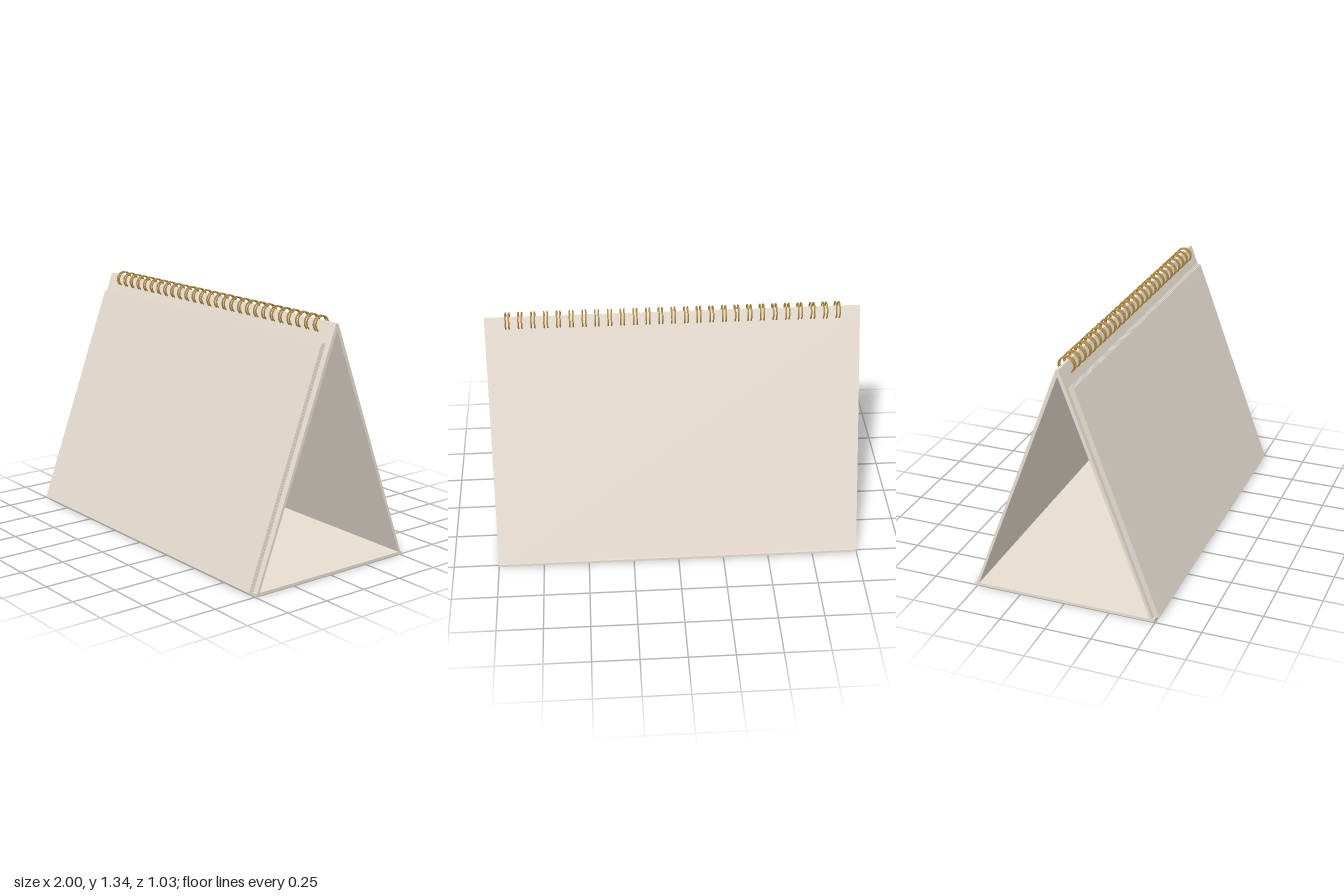
import * as THREE from 'three';

const MID = -0.01; // z of the ridge line

export function createModel() {
  const model = new THREE.Group();
  model.name = 'deskCalendar';

  const card = new THREE.MeshStandardMaterial({ color: 0xe9dfd3 });
  card.name = 'beigeCard';
  const brass = new THREE.MeshStandardMaterial({ color: 0xb08a3e });
  brass.name = 'brass';

  // Prism from a [z, y] outline, centred across x
  function slab(name, outline, width, x = 0) {
    const shape = new THREE.Shape(outline.map(([z, y]) => new THREE.Vector2(z, y)));
    const geo = new THREE.ExtrudeGeometry(shape, { depth: width, bevelEnabled: false });
    geo.translate(0, 0, -width / 2);
    geo.rotateY(-Math.PI / 2);
    const mesh = new THREE.Mesh(geo, card);
    mesh.name = name;
    mesh.position.x = x;
    return mesh;
  }

  // Folded stand: two leaning panels and a base board
  const leaning = [[0.482, 0.016], [0.496, 0.016], [0.007, 1.323], [0, 1.323], [0, 1.287]];
  model.add(slab('frontPanel', leaning.map(([z, y]) => [MID + z, y]), 2));
  // mirrored outline, reversed to keep its winding
  model.add(slab('backPanel', leaning.map(([z, y]) => [MID - z, y]).reverse(), 2));
  model.add(slab('base', [[-0.515, 0.003], [0.495, 0.003], [0.495, 0.018], [-0.515, 0.018]], 2));

  // Stack of thin pages lying on the front panel
  const pages = new THREE.Group();
  pages.name = 'pages';
  const SHEETS = 8;
  for (let i = 0; i < SHEETS; i++) {
    const z = i * 0.0036;
    const t = 0.0026;
    pages.add(slab('page', [
      [0.4865 + z, 0.018], [0.4865 + z + t, 0.019],
      [0.0375 + z + t, 1.225], [0.0375 + z, 1.224],
    ], 1.945, -0.003));
  }
  model.add(pages);

  // Twin-loop wire binding
  const binding = new THREE.Group();
  binding.name = 'wireBinding';
  const loop = new THREE.TorusGeometry(0.0418, 0.004, 10, 40);
  loop.rotateY(Math.PI / 2);
  const PAIRS = 27;
  for (let i = 0; i < PAIRS; i++) {
    const x = (i - (PAIRS - 1) / 2) * 0.0676;
    for (const side of [-1, 1]) {
      const ring = new THREE.Mesh(loop, brass);
      ring.name = 'ring';
      ring.position.set(x + side * 0.009, 1.302, MID);
      binding.add(ring);
    }
  }
  model.add(binding);

  return model;
}
